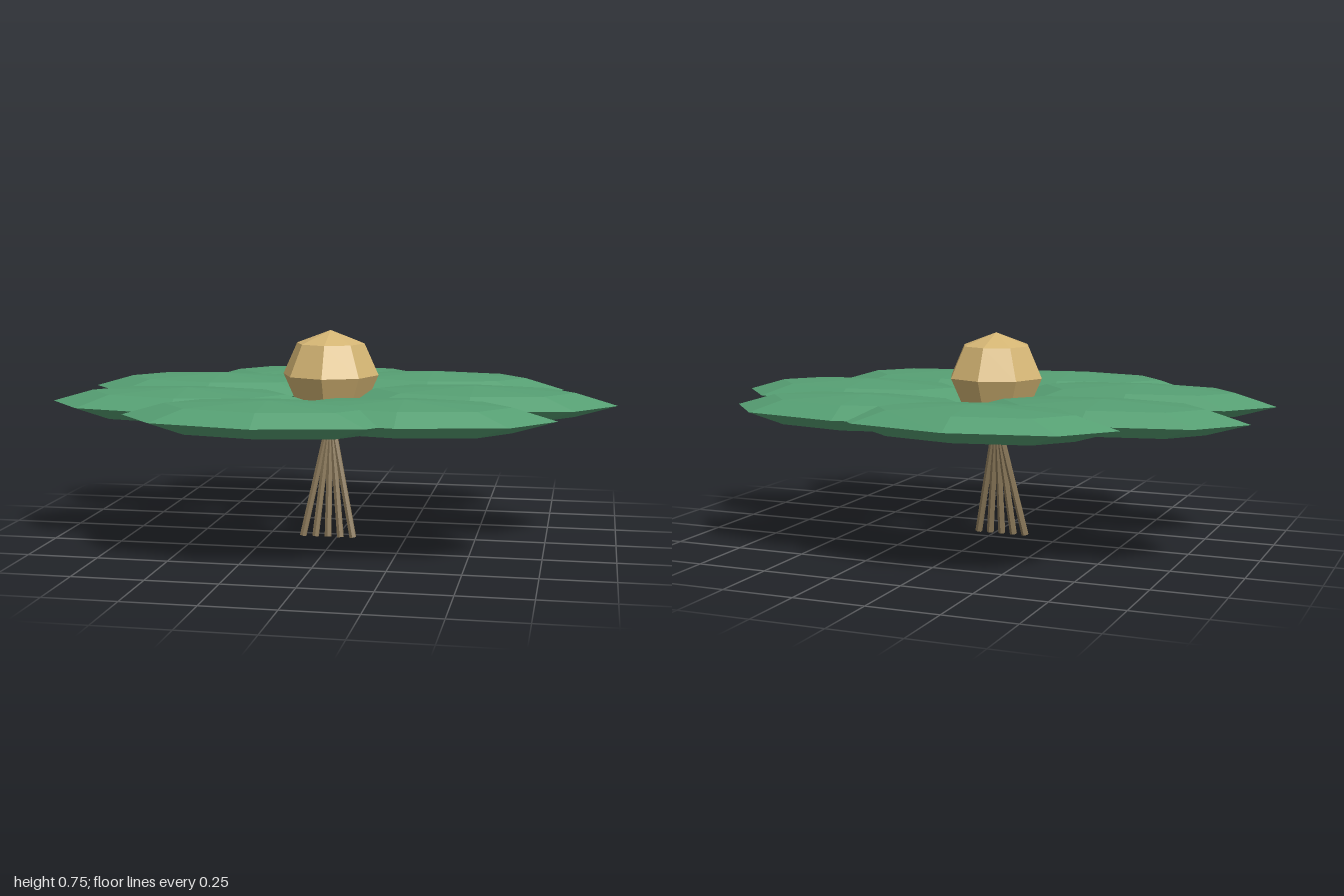
import * as THREE from 'three';

export function createModel() {
  const model = new THREE.Group();
  model.name = 'flower';

  const material = (name, color) => {
    const m = new THREE.MeshStandardMaterial({ color, flatShading: true });
    m.name = name;
    return m;
  };
  const green = material('petalGreen', 0x569f73);
  const gold = material('coreGold', 0xd4b574);
  const brown = material('stemBrown', 0x8a7859);

  const add = (name, geometry, mat, x, y, z) => {
    const mesh = new THREE.Mesh(geometry, mat);
    mesh.name = name;
    mesh.position.set(x, y, z);
    model.add(mesh);
    return mesh;
  };

  const centreX = -0.03;
  const facetedBall = new THREE.SphereGeometry(1, 8, 4);

  // Seven flattened petals in a ring, all lying lengthwise along x
  for (let i = 0; i < 7; i++) {
    const a = (i / 7) * Math.PI * 2;
    const petal = add('petal' + (i + 1), facetedBall, green,
      centreX + Math.cos(a) * 0.52, 0.505, Math.sin(a) * 0.52);
    petal.scale.set(0.502, 0.06, 0.243);
  }

  // Faceted core
  add('core', facetedBall, gold, centreX, 0.595, 0).scale.set(0.175, 0.16, 0.175);

  // Five thin stems fanning down and slightly forward from the core
  const down = new THREE.Vector3(0, -1, 0);
  for (let i = -2; i <= 2; i++) {
    const top = new THREE.Vector3(centreX, 0.452, 0.002);
    const foot = new THREE.Vector3(centreX + i * 0.046, 0.007, 0.057);
    const axis = foot.clone().sub(top);
    const mid = top.clone().add(foot).multiplyScalar(0.5);
    const stem = add('stem' + (i + 3),
      new THREE.CylinderGeometry(0.011, 0.013, axis.length(), 6), brown, mid.x, mid.y, mid.z);
    stem.quaternion.setFromUnitVectors(down, axis.normalize());
  }

  return model;
}
